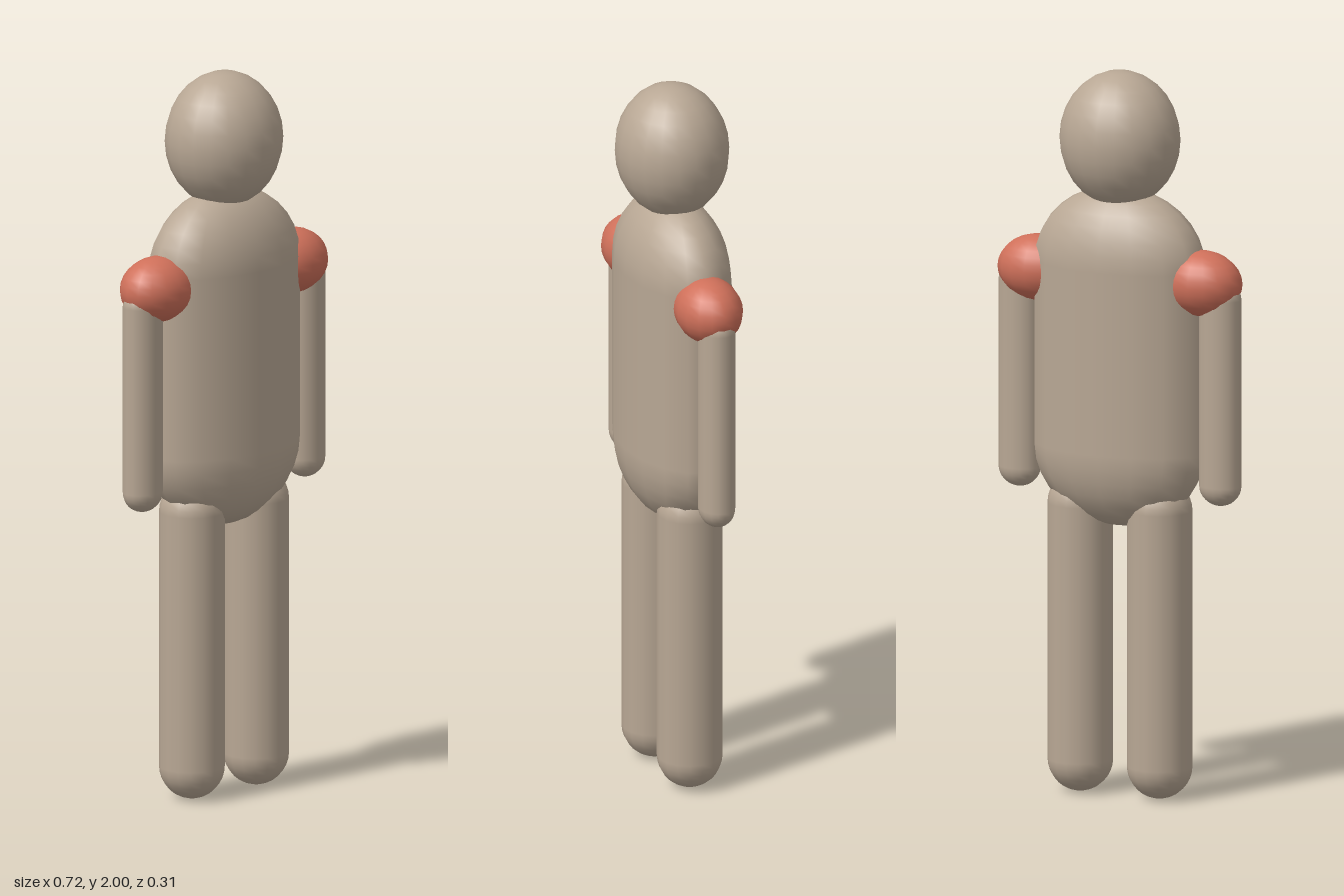
import * as THREE from 'three';

const skin = new THREE.MeshStandardMaterial({ color: 0xb8a794 });
const red = new THREE.MeshStandardMaterial({ color: 0xcf705a });

// Ellipsoid with radii rx, ry, rz
function ellipsoid(name, material, [rx, ry, rz], [x, y, z], segments) {
  const mesh = new THREE.Mesh(new THREE.SphereGeometry(1, segments, 14).scale(rx, ry, rz), material);
  mesh.name = name;
  mesh.position.set(x, y, z);
  return mesh;
}

// Upright capsule from bottom to top, with cap height and an oval section
function capsule(name, [rx, rz], cap, bottom, top, x, segments) {
  const geometry = new THREE.CapsuleGeometry(cap, top - bottom - 2 * cap, 8, segments);
  geometry.scale(rx / cap, 1, rz / cap);
  const mesh = new THREE.Mesh(geometry, skin);
  mesh.name = name;
  mesh.position.set(x, (top + bottom) / 2, 0);
  return mesh;
}

export function createModel() {
  const figure = new THREE.Group();
  figure.name = 'figure';

  // Head and body
  figure.add(ellipsoid('head', skin, [0.167, 0.187, 0.154], [0, 1.813, 0], 20));
  figure.add(capsule('torso', [0.25, 0.14], 0.215, 0.745, 1.68, 0, 16));

  // Limbs on both sides
  for (const [side, s] of [['left', 1], ['right', -1]]) {
    figure.add(ellipsoid(side + 'Shoulder', red, [0.115, 0.09, 0.09], [s * 0.245, 1.435, 0], 16));
    figure.add(capsule(side + 'Arm', [0.059, 0.049], 0.055, 0.825, 1.45, s * 0.301, 16));
    figure.add(capsule(side + 'Leg', [0.089, 0.089], 0.089, 0, 0.885, s * 0.119, 16));
  }
  return figure;
}
